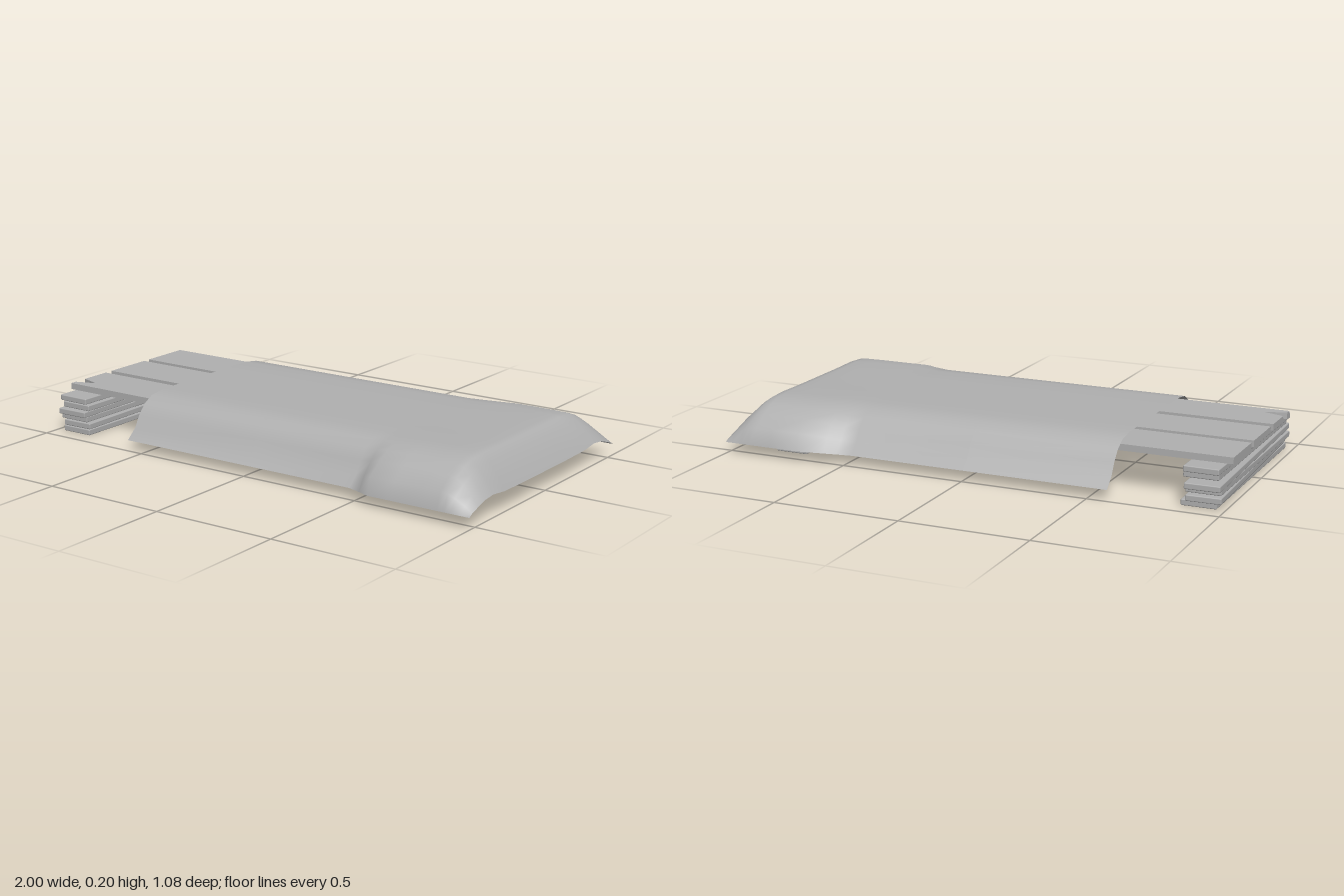
import * as THREE from 'three';
import { RoundedBoxGeometry } from 'three/addons/geometries/RoundedBoxGeometry.js';

// Half cross-sections of the blanket, [z, y] from the middle to the hem
const NARROW = [[0, .2], [.15, .2], [.27, .2], [.34, .19], [.385, .165], [.42, .125], [.445, .08], [.49, .04]];
const WIDE = [[0, .2], [.15, .2], [.28, .202], [.36, .196], [.41, .18], [.46, .153], [.52, .11], [.54, .045]];
const END = [[0, .075], [.15, .075], [.3, .077], [.38, .086], [.44, .08], [.48, .068], [.52, .055], [.54, .045]];

const mix = (a, b, t) => a.map((p, i) => p.map((v, k) => v + (b[i][k] - v) * t));

function blanketGeometry() {
  // x, flare towards +z, flare towards -z, droop over the foot end
  const stations = [
    [-.575, 0, 0, 0], [0, 0, 0, 0], [.47, 0, 0, 0], [.53, .5, .25, 0], [.58, 1, .5, 0],
    [.68, 1, 1, 0], [.8, 1, 1, 0], [.87, 1, 1, .01], [.9, 1, 1, .05], [.93, 1, 1, .25], [.97, 1, 1, .64], [1, 1, 1, 1],
  ];
  const pos = [], index = [];
  const half = NARROW.length, cols = half * 2 - 1;
  stations.forEach(([x, front, back, droop], i) => {
    const f = mix(mix(NARROW, WIDE, front), END, droop);
    const b = mix(mix(NARROW, WIDE, back), END, droop);
    for (let j = 0; j < cols; j++) {
      const k = j - half + 1;
      const [z, y] = k < 0 ? b[-k] : f[k];
      pos.push(x, y, k < 0 ? -z : z);
      if (i && j) {
        const d = i * cols + j, c = d - 1, e = d - cols, a = e - 1;
        index.push(a, e, c, e, d, c);
      }
    }
  });
  const g = new THREE.BufferGeometry();
  g.setAttribute('position', new THREE.Float32BufferAttribute(pos, 3));
  g.setIndex(index);
  g.computeVertexNormals();
  return g;
}

export function createModel() {
  const model = new THREE.Group();
  model.name = 'plankBed';
  const grey = new THREE.MeshStandardMaterial({ color: 0xb0b0b0, side: THREE.DoubleSide });
  grey.name = 'plain grey';
  const add = (geometry, name, parent = model) => {
    const mesh = new THREE.Mesh(geometry, grey);
    mesh.name = name;
    parent.add(mesh);
    return mesh;
  };

  // Three long planks, the front one with a split in its head end
  [[-.35, -.14], [-.11, .1], [.135, .345]].forEach(([z0, z1], i) => {
    const s = new THREE.Shape();
    s.moveTo(-1, -z1);
    s.lineTo(.88, -z1);
    s.lineTo(.88, -z0);
    s.lineTo(-1, -z0);
    if (i === 2) {
      s.lineTo(-1, -.262);
      s.lineTo(-.915, -.29);
      s.lineTo(-1, -.318);
    }
    const g = new THREE.ExtrudeGeometry(s, { depth: .025, bevelEnabled: false });
    g.rotateX(-Math.PI / 2).translate(0, .15, 0);
    add(g, 'longPlank' + (i + 1));
  });

  // Stacks of slightly crooked cross boards: centre x, centre z, length, turn
  const stack = (name, boards) => {
    const group = new THREE.Group();
    group.name = name;
    model.add(group);
    boards.forEach(([x, z, length, turn], i) => {
      const board = add(new RoundedBoxGeometry(.135, .0235, length, 1, .004), 'crossBoard' + (i + 1), group);
      board.position.set(x, .012 + i * .025, z);
      board.rotation.y = turn;
    });
  };
  stack('headSupport', [
    [-.9, 0, .86, 0], [-.91, -.01, .88, .03], [-.915, 0, .85, 0],
    [-.915, -.01, .92, .02], [-.9, .01, .84, 0], [-.91, 0, .86, -.01],
  ]);
  stack('footSupport', [
    [.77, 0, .86, 0], [.77, -.03, .88, .03], [.77, 0, .86, -.02],
    [.78, -.02, .84, .02], [.77, .01, .82, 0], [.77, 0, .84, -.02],
  ]);

  // Blanket draped over the planks
  add(blanketGeometry(), 'blanket');
  return model;
}
